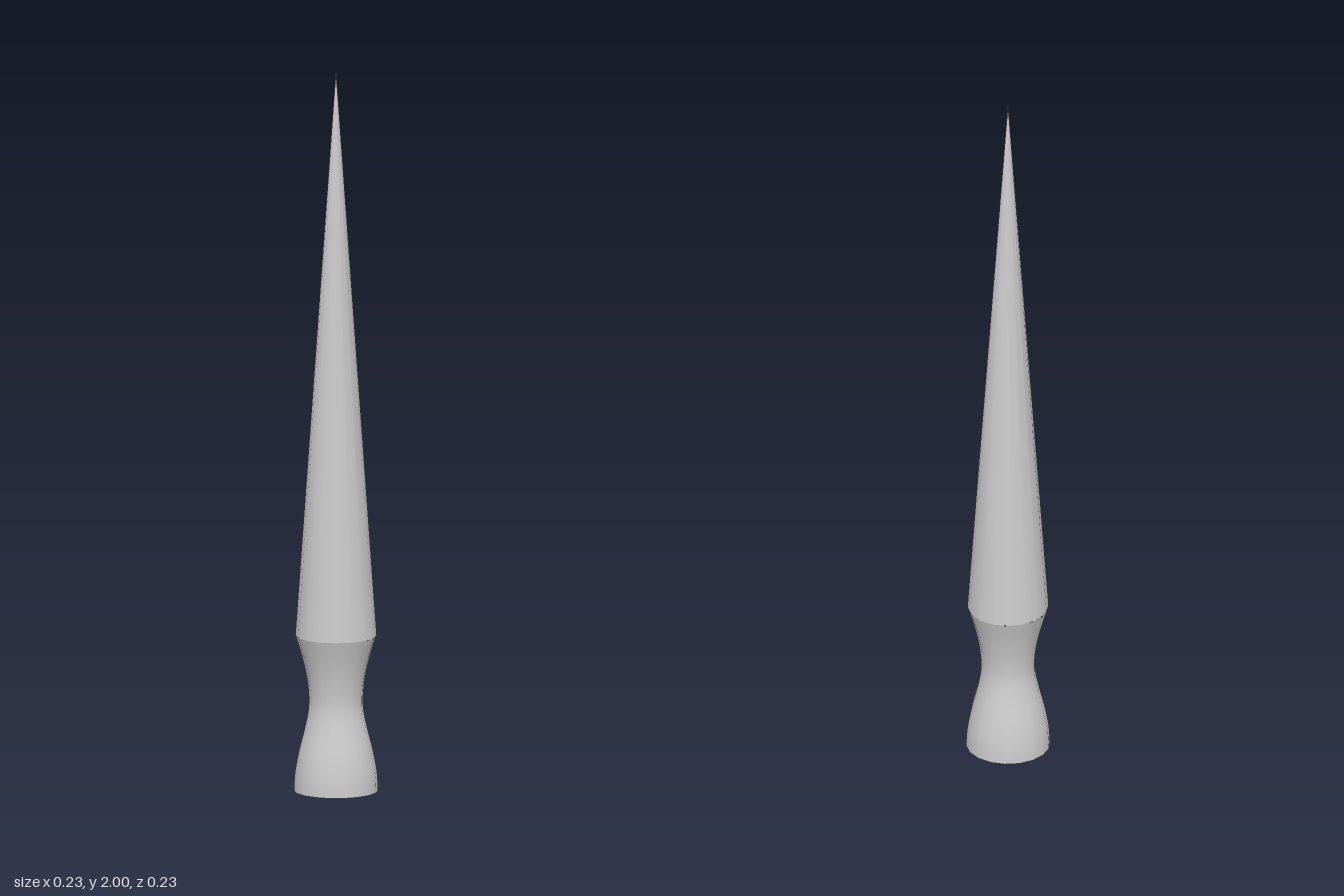
import * as THREE from 'three';

export function createModel() {
  const group = new THREE.Group();
  const material = new THREE.MeshStandardMaterial({ color: 0xcccccc });
  const add = (name, geometry, y) => {
    const mesh = new THREE.Mesh(geometry, material);
    mesh.name = name;
    mesh.position.y = y;
    group.add(mesh);
    return mesh;
  };

  const handleTop = 0.43, handleSides = 18;

  // Waisted handle, turned from a smooth profile of [radius, height]
  const profile = new THREE.SplineCurve([
    [0.115, 0], [0.112, 0.05], [0.101, 0.11], [0.086, 0.17], [0.076, 0.22],
    [0.074, 0.26], [0.079, 0.31], [0.092, 0.37], [0.11, handleTop],
  ].map(([r, y]) => new THREE.Vector2(r, y))).getPoints(24);
  add('handle', new THREE.LatheGeometry(profile, handleSides, Math.PI / 2), 0);

  // Flat end of the handle
  const end = new THREE.CircleGeometry(0.115, handleSides);
  end.rotateX(Math.PI / 2);
  add('handleEnd', end, 0);

  // Long tapering spike
  const length = 2 - handleTop;
  add('spike', new THREE.ConeGeometry(0.111, length, 16), handleTop + length / 2);

  return group;
}
